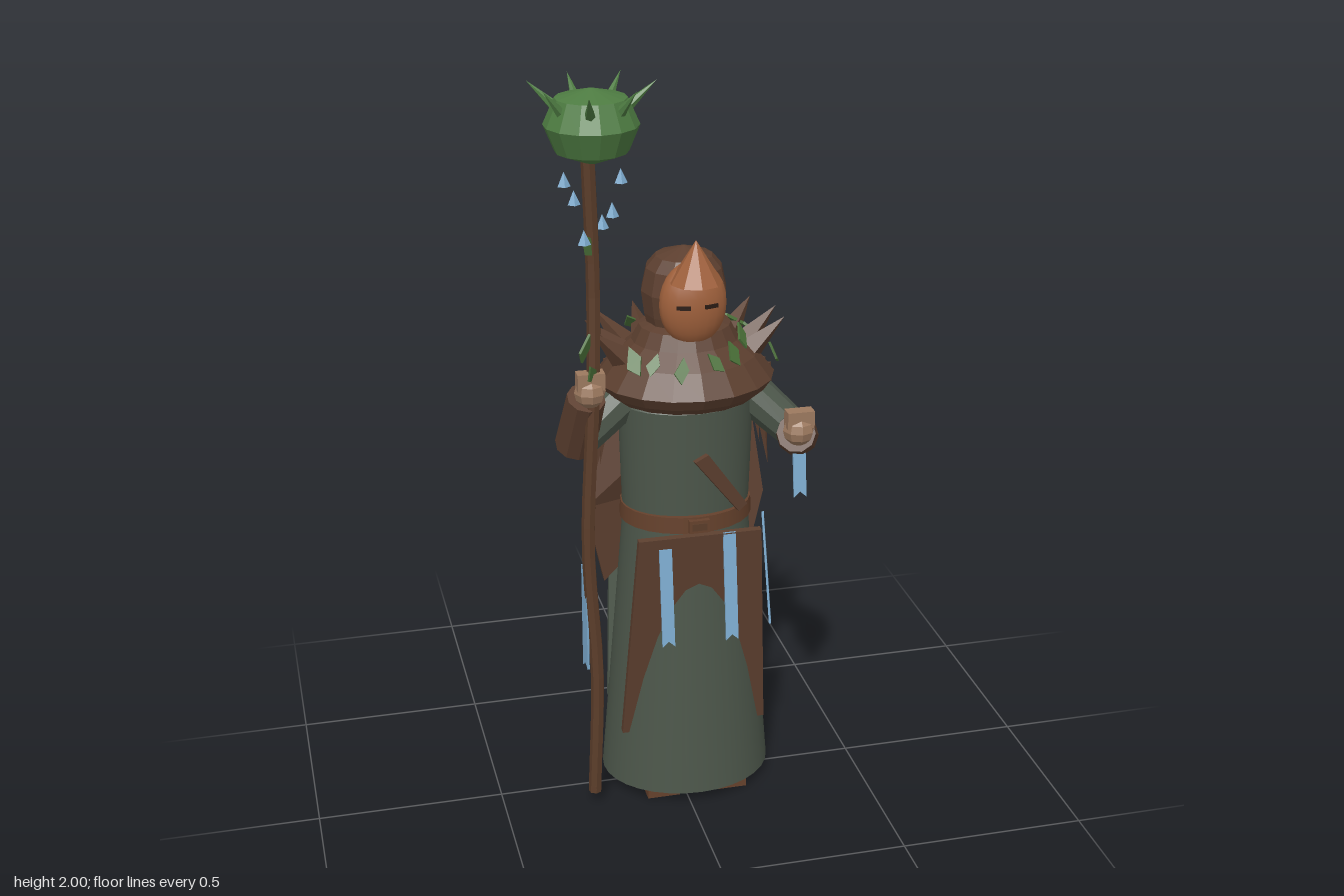
import * as THREE from 'three';

const V = (x, y, z) => new THREE.Vector3(x, y, z);
const CX = 0.03, CZ = -0.03; // body axis

function paint(name, color, side = THREE.FrontSide) {
  const m = new THREE.MeshStandardMaterial({ color, side });
  m.name = name;
  return m;
}

function flat(geo) {
  const g = geo.index ? geo.toNonIndexed() : geo;
  g.computeVertexNormals();
  return g;
}

export function createModel() {
  const root = new THREE.Group();
  const cloth = paint('brown cloth', 0x5c3f2f, THREE.DoubleSide);
  const robeMat = paint('grey green robe', 0x4c564a);
  const leather = paint('belt leather', 0x65412c);
  const wood = paint('staff wood', 0x5b3d2a);
  const maskMat = paint('mask orange', 0xa0613c);
  const dark = paint('dark slit', 0x2b1c14);
  const skin = paint('skin', 0x9c795f);
  const podMat = paint('pod green', 0x4e7c42);
  const leafMat = paint('leaf green', 0x4a7038, THREE.DoubleSide);
  const blue = paint('ribbon blue', 0x7ba9cc, THREE.DoubleSide);

  function add(name, geo, mat, x = 0, y = 0, z = 0, parent = root) {
    const m = new THREE.Mesh(geo, mat);
    m.name = name;
    m.position.set(x, y, z);
    parent.add(m);
    return m;
  }
  // tapered round bar from a to b
  function limb(name, a, b, ra, rb, mat, sides = 8) {
    const d = b.clone().sub(a);
    const m = add(name, flat(new THREE.CylinderGeometry(rb, ra, d.length(), sides)), mat);
    m.position.copy(a).addScaledVector(d, 0.5);
    m.quaternion.setFromUnitVectors(V(0, 1, 0), d.normalize());
    return m;
  }
  // flat plate cut from an outline
  function plate(name, pts, depth, mat, x, y, z, rx = 0, ry = 0, rz = 0) {
    const s = new THREE.Shape(pts.map(p => new THREE.Vector2(p[0], p[1])));
    const geo = new THREE.ExtrudeGeometry(s, { depth, bevelEnabled: false });
    geo.translate(0, 0, -depth / 2);
    const m = add(name, geo, mat, x, y, z);
    m.rotation.set(rx, ry, rz, 'YXZ');
    return m;
  }
  const lathe = (pts, n) =>
    flat(new THREE.LatheGeometry(pts.map(p => new THREE.Vector2(p[0], p[1])), n));

  // robe: skirt, torso, shoulders
  for (const [name, rt, rb, y0, y1] of [
    ['robeSkirt', 0.17, 0.233, 0.03, 0.8],
    ['robeTorso', 0.18, 0.17, 0.8, 1.13],
    ['robeShoulders', 0.1, 0.18, 1.13, 1.24]]) {
    const m = add(name, new THREE.CylinderGeometry(rt, rb, y1 - y0, 32), robeMat, CX, (y0 + y1) / 2, CZ);
    m.scale.z = y1 > 0.9 ? 0.77 : 0.84;
  }
  for (const x of [-0.065, 0.125])
    add('boot', new THREE.BoxGeometry(0.09, 0.04, 0.2), leather, x, 0.02, 0.018);

  // belt, buckle, chest strap
  add('belt', new THREE.CylinderGeometry(0.176, 0.178, 0.045, 24), leather, CX, 0.82, CZ).scale.z = 0.83;
  add('buckle', new THREE.BoxGeometry(0.055, 0.035, 0.02), leather, CX, 0.82, 0.118);
  add('buckleInset', new THREE.BoxGeometry(0.04, 0.02, 0.006), wood, CX, 0.82, 0.128);
  plate('chestStrap', [[-0.03, 0.11], [0.01, 0.1], [0.015, -0.1], [-0.015, -0.1]], 0.015, cloth,
    0.1, 0.93, 0.1, 0, 0.25, 0.6);

  // sloping skirt panels that sink into the robe
  const panel = [[-0.165, 0], [-0.2, -0.61], [0.2, -0.61], [0.165, 0]];
  plate('frontApron', panel, 0.018, cloth, CX, 0.8, 0.13, 0.108);
  plate('backPanel', panel, 0.018, robeMat, CX, 0.8, -0.235, -0.18);

  // cape: bent slab with pointed wings
  const cape = [[0.11, 0], [0.2, -0.05], [0.25, -0.42], [0.2, -0.65], [0.13, -0.6], [0.1, -0.42]];
  const capeShape = new THREE.Shape();
  [...cape, ...cape.slice().reverse().map(p => [-p[0], p[1]])]
    .forEach(([x, y], i) => (i ? capeShape.lineTo(x, y) : capeShape.moveTo(x, y)));
  const capeGeo = new THREE.ExtrudeGeometry(capeShape, { depth: 0.02, bevelEnabled: false });
  const cp = capeGeo.attributes.position;
  for (let i = 0; i < cp.count; i++)
    cp.setZ(i, cp.getZ(i) + Math.max(0, Math.abs(cp.getX(i)) - 0.1) * 0.35 - cp.getY(i) * 0.05);
  add('cape', flat(capeGeo), cloth, CX, 1.2, -0.235);

  // shoulder mantle with raised collar
  add('mantle', lathe([[0.19, 1.14], [0.215, 1.16], [0.236, 1.19], [0.19, 1.25], [0.14, 1.29],
    [0.12, 1.33], [0.09, 1.34]], 18), cloth, CX, 0, -0.04).scale.z = 0.9;

  // tattered fringe hanging round the back
  for (let i = 0; i < 17; i++) {
    const a = Math.PI * (0.97 + 1.06 * i / 16), len = 0.17 + 0.045 * ((i * 5) % 4);
    const c = Math.cos(a), s = Math.sin(a);
    limb('fringe', V(CX + 0.2 * c, 1.2, -0.04 + 0.19 * s),
      V(CX + 0.24 * c, 1.2 - len, -0.04 + 0.222 * s), 0.03, 0, cloth, 4);
  }
  // thorns on the mantle
  for (const deg of [-10, 12, 168, 192, 215, 242, 268, 298, 325]) {
    const a = deg * Math.PI / 180, c = Math.cos(a), s = Math.sin(a);
    const out = c * c > 0.6 ? 0.26 : 0.215;
    limb('mantleThorn', V(CX + 0.17 * c, 1.25, -0.04 + 0.15 * s),
      V(CX + out * c, 1.34, -0.04 + out * 0.9 * s), 0.036, 0, cloth, 4);
  }
  // leaves: x, y, z, tilt, turn, roll, size
  const leaves = [
    [-0.13, 1.27, 0.06, -0.6, -0.5, 0.4, 1.2], [-0.085, 1.27, 0.09, -0.5, -0.3, -0.4, 0.9],
    [-0.02, 1.26, 0.125, -0.5, 0, -0.3, 1], [0.07, 1.27, 0.12, -0.5, 0.2, 0.5, 0.9],
    [0.125, 1.28, 0.09, -0.4, 0.5, 0.1, 1], [0.16, 1.31, 0.04, -0.5, 0.9, -0.4, 1],
    [0.26, 1.24, 0.0, -0.4, 1.4, 0.2, 1], [-0.085, 1.29, -0.185, 0.7, 0, 0.3, 0.9],
    [0.06, 1.3, -0.19, 0.6, 0, -0.5, 0.9], [0.17, 1.29, -0.145, 0.8, -0.6, 1, 1.4],
    [0.235, 1.25, -0.12, 0.6, -1, 0.2, 1.3], [-0.25, 1.6, 0.11, 0, 0.6, 0.5, 1.1],
    [-0.265, 1.34, 0.12, 0.2, 0.8, -0.3, 1.1], [-0.25, 1.27, 0.125, 0.2, 0.7, 0.4, 0.9],
    [-0.19, 0.93, -0.235, 0, 0.7, 0.3, 1], [-0.19, 0.8, -0.235, 0, 1, -0.4, 0.9],
    [-0.19, 0.7, -0.235, 0, 1.1, 0.2, 1.1]];
  for (const [x, y, z, rx, ry, rz, k] of leaves)
    plate('leaf', [[0, 0.035], [0.02, 0.005], [0.008, -0.035], [-0.016, -0.012]], 0.006, leafMat,
      x, y, z, rx, ry, rz).scale.setScalar(k);
  limb('backVine', V(-0.17, 1.15, -0.215), V(-0.19, 0.68, -0.232), 0.008, 0.006, wood, 5);

  // hood with drooping tail
  add('hood', lathe([[0.085, 1.28], [0.105, 1.36], [0.113, 1.42], [0.1, 1.48], [0.075, 1.51],
    [0, 1.535]], 12), cloth, CX, 0, -0.05);
  limb('hoodTail', V(CX, 1.46, -0.12), V(CX, 1.29, -0.185), 0.055, 0, cloth, 6);

  // mask, eye slits and peaked cap
  add('mask', new THREE.SphereGeometry(1, 20, 14), maskMat, CX, 1.41, 0.045).scale.set(0.088, 0.112, 0.055);
  for (const s of [-1, 1])
    add('eyeSlit', new THREE.BoxGeometry(0.036, 0.01, 0.008), dark, CX + 0.036 * s, 1.415, 0.094)
      .rotation.y = 0.28 * s;
  add('maskPeak', flat(new THREE.ConeGeometry(0.068, 0.11, 9)), maskMat, CX, 1.53, 0.075);

  // arms
  limb('leftSleeve', V(0.17, 1.16, -0.03), V(0.31, 1.03, 0.04), 0.06, 0.05, robeMat, 10);
  limb('leftForearm', V(0.315, 1.025, 0.03), V(0.285, 1.06, 0.12), 0.05, 0.046, robeMat, 10);
  limb('leftCuff', V(0.305, 1.035, 0.08), V(0.262, 1.095, 0.205), 0.056, 0.05, cloth, 10);
  limb('rightSleeve', V(-0.12, 1.16, -0.03), V(-0.265, 1.04, 0.0), 0.06, 0.05, robeMat, 10);
  limb('rightCuff', V(-0.27, 1.03, -0.005), V(-0.255, 1.19, 0.075), 0.054, 0.05, cloth, 10);
  for (const [name, x, y, z] of [['leftHand', 0.26, 1.115, 0.23], ['rightHand', -0.25, 1.215, 0.1]]) {
    add(name, flat(new THREE.SphereGeometry(0.041, 8, 6)), skin, x, y, z);
    add(name + 'Fingers', new THREE.BoxGeometry(0.07, 0.045, 0.036), skin, x, y + 0.033, z + 0.006);
  }

  // ribbons: x, y, z, length, tilt, turn, roll
  for (const [x, y, z, h, rx, ry, rz] of [
    [-0.065, 0.77, 0.138, 0.27, -0.14, 0, 0], [0.108, 0.8, 0.135, 0.3, -0.14, 0, 0],
    [0.225, 0.8, 0.045, 0.31, -0.08, 1.3, -0.12], [-0.27, 0.72, 0.085, 0.3, 0, -1.4, 0],
    [0.292, 1.01, 0.14, 0.12, -0.15, 0, 0]])
    plate('ribbon', [[-0.017, 0], [-0.017, -h], [0, -h + 0.015], [0.017, -h], [0.017, 0]], 0.006, blue,
      x, y, z, rx, ry, rz);

  // crooked staff
  const path = new THREE.CatmullRomCurve3([V(-0.255, 0.04, 0.1), V(-0.243, 0.4, 0.1), V(-0.26, 0.78, 0.095),
    V(-0.242, 1.2, 0.1), V(-0.235, 1.5, 0.09), V(-0.245, 1.82, 0.1)]);
  add('staff', flat(new THREE.TubeGeometry(path, 20, 0.018, 7)), wood);
  limb('staffFoot', V(-0.255, 0.039, 0.1), V(-0.2545, 0.06, 0.1), 0.018, 0.018, wood, 7);

  // spiky pod
  const px = -0.235, pz = 0.1;
  add('pod', lathe([[0, 1.8], [0.09, 1.835], [0.117, 1.9], [0.088, 1.965], [0, 1.988]], 14), podMat, px, 0, pz);
  for (let i = 0; i < 7; i++) {
    const a = i * Math.PI * 2 / 7, c = Math.cos(a), s = Math.sin(a), r = i % 2 ? 0.14 : 0.16;
    limb('podSpike', V(px + 0.085 * c, 1.935, pz + 0.085 * s), V(px + r * c, 1.998, pz + r * s),
      0.015, 0, podMat, 6);
  }
  // drops falling from the pod
  for (let i = 0; i < 6; i++) {
    const a = i * Math.PI / 3;
    add('drop', flat(new THREE.ConeGeometry(0.017, 0.036, 5)), blue,
      px + 0.07 * Math.cos(a), 1.77 - 0.065 * (i % 3), pz + 0.07 * Math.sin(a));
  }
  return root;
}
